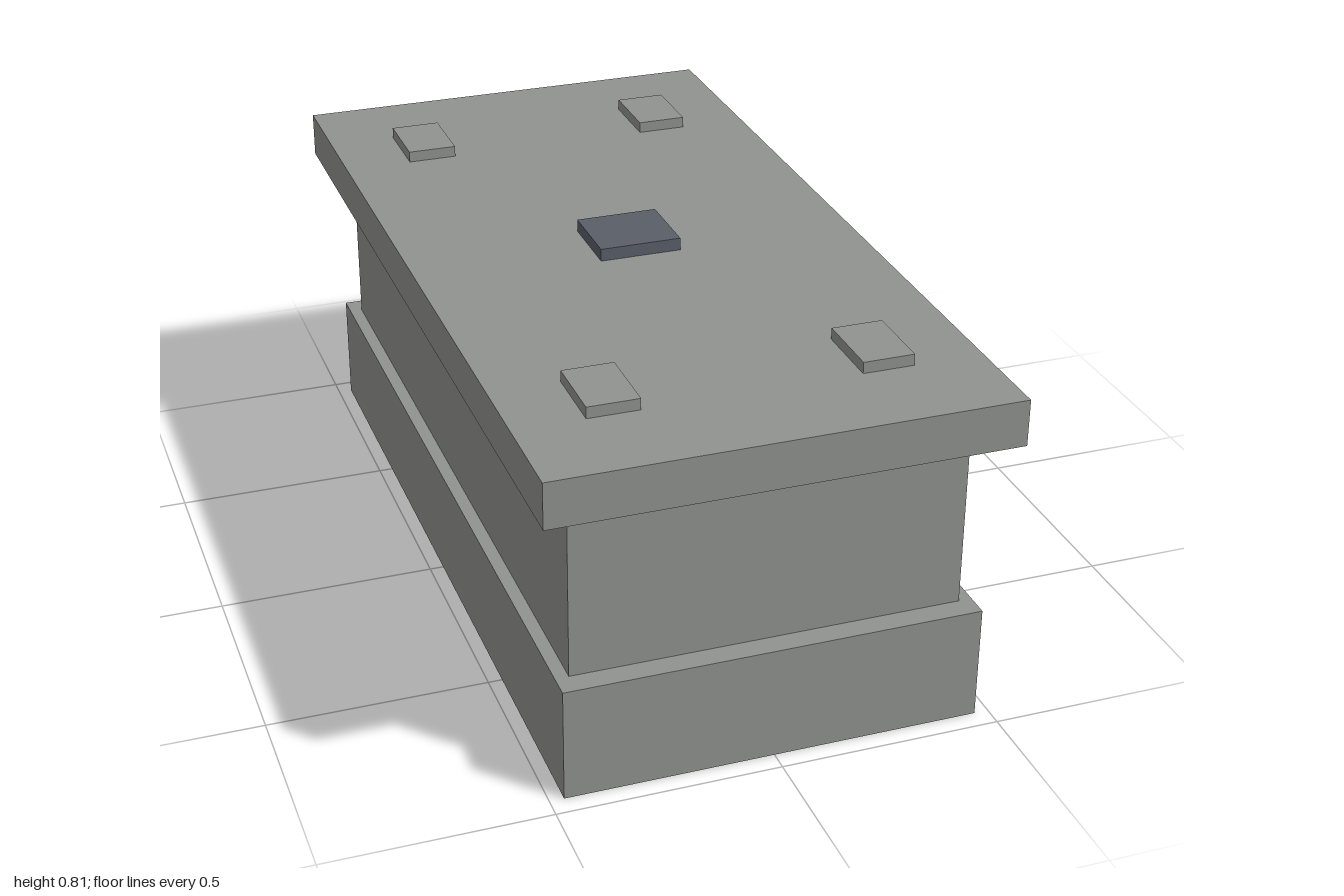
import * as THREE from 'three';

export function createModel() {
  const model = new THREE.Group();

  const stone = new THREE.MeshStandardMaterial({ color: 0x90928f });
  stone.name = 'grey stone';
  const slate = new THREE.MeshStandardMaterial({ color: 0x595e68 });
  slate.name = 'dark slate';

  // Box given by its size, its lowest height and its centre on the ground plane
  function addBox(name, material, width, depth, bottom, top, x = 0, z = 0) {
    const mesh = new THREE.Mesh(new THREE.BoxGeometry(width, top - bottom, depth), material);
    mesh.name = name;
    mesh.position.set(x, (bottom + top) / 2, z);
    model.add(mesh);
  }

  // Stepped body: plinth, chest and overhanging lid
  addBox('plinth', stone, 0.936, 1.91, 0, 0.263);
  addBox('chest', stone, 0.876, 1.804, 0.263, 0.68);
  addBox('lid', stone, 1.032, 2, 0.68, 0.786);

  // Raised pad near each corner of the lid
  for (const x of [-0.3, 0.3]) {
    for (const z of [-0.7, 0.7]) {
      addBox('cornerPad', stone, 0.116, 0.168, 0.786, 0.812, x, z);
    }
  }

  // Dark plaque in the middle of the lid
  addBox('centrePlaque', slate, 0.19, 0.174, 0.786, 0.815);

  return model;
}
